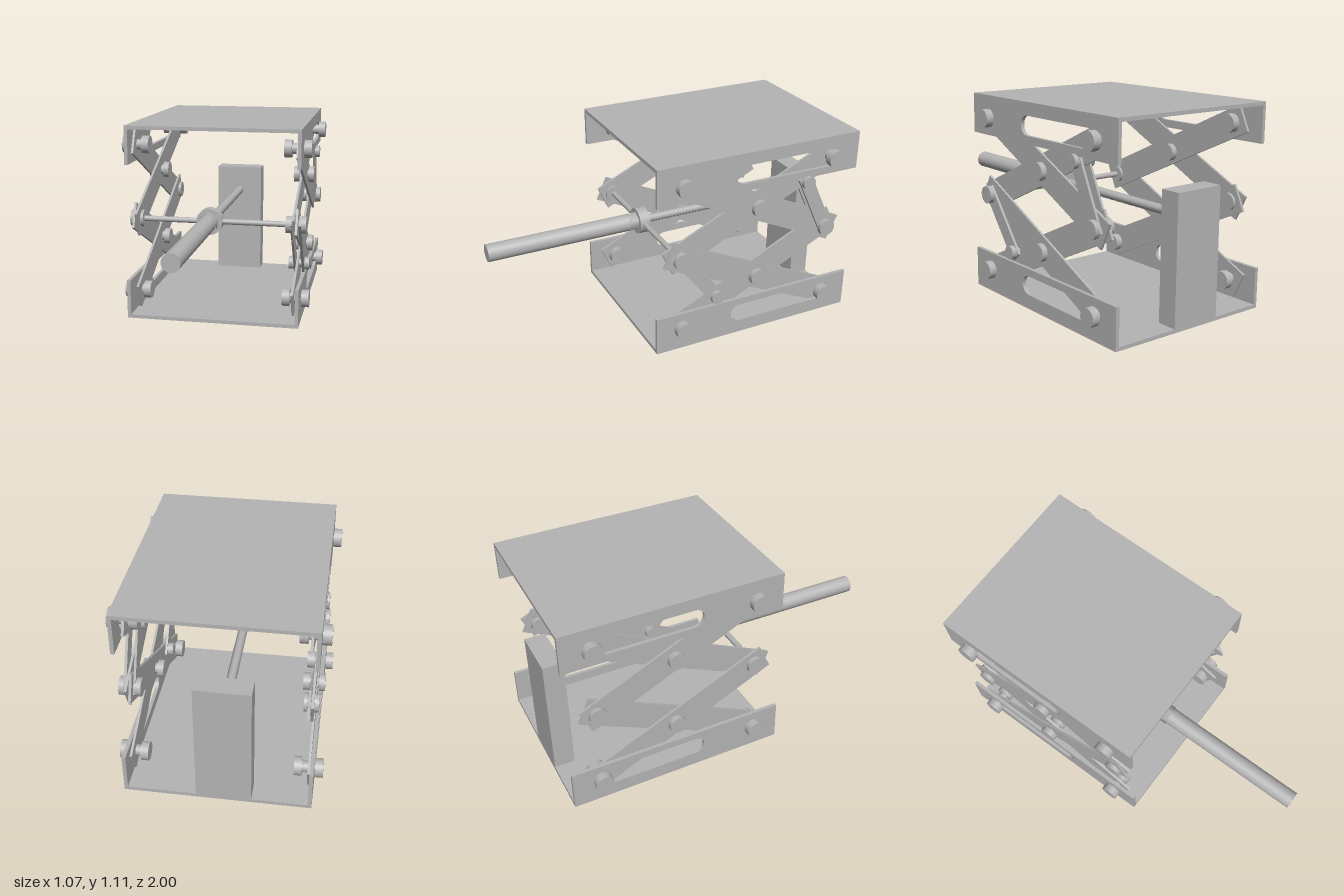
import * as THREE from 'three';

export function createModel() {
  const model = new THREE.Group();
  model.name = 'scissorLiftTable';
  const steel = new THREE.MeshStandardMaterial({ color: 0xb4b4b4 });
  steel.name = 'steel';

  const add = (name, geometry, x = 0, y = 0, z = 0) => {
    const mesh = new THREE.Mesh(geometry, steel);
    mesh.name = name;
    mesh.position.set(x, y, z);
    model.add(mesh);
    return mesh;
  };

  // Round part along x
  const discX = (name, x0, x1, r, y, z) =>
    add(name, new THREE.CylinderGeometry(r, r, Math.abs(x1 - x0), 28).rotateZ(Math.PI / 2), (x0 + x1) / 2, y, z);

  // Round part along z
  const discZ = (name, z0, z1, r, x, y, sides = 32) =>
    add(name, new THREE.CylinderGeometry(r, r, Math.abs(z1 - z0), sides).rotateX(Math.PI / 2), x, y, (z0 + z1) / 2);

  // Flat bar between two pivots [z, y], reaching past both
  const bar = (name, a, b, x0, x1, width, reach) => {
    const dz = b[0] - a[0], dy = b[1] - a[1];
    const geometry = new THREE.BoxGeometry(Math.abs(x1 - x0), width, Math.hypot(dz, dy) + 2 * reach);
    const mesh = add(name, geometry, (x0 + x1) / 2, (a[1] + b[1]) / 2, (a[0] + b[0]) / 2);
    mesh.rotation.x = -Math.atan2(dy, dz);
  };

  // Bolt with a shank and a head at each end
  const bolt = (name, side, [z, y], inner, outer, r) => {
    discX(name + 'OuterHead', side * outer[0], side * outer[1], r, y, z);
    discX(name + 'InnerHead', side * inner[0], side * inner[1], r, y, z);
    discX(name + 'Shank', side * inner[1], side * outer[0], r * 0.6, y, z);
  };

  // Side flange with a long rounded slot
  const flangeGeometry = (y0, y1, slotY) => {
    const shape = new THREE.Shape();
    shape.moveTo(-0.235, y0).lineTo(1, y0).lineTo(1, y1).lineTo(-0.235, y1).closePath();
    const r = 0.052, slot = new THREE.Path();
    slot.absarc(0.833, slotY, r, -Math.PI / 2, Math.PI / 2, false);
    slot.absarc(0.28, slotY, r, Math.PI / 2, Math.PI * 1.5, false);
    slot.closePath();
    shape.holes.push(slot);
    return new THREE.ExtrudeGeometry(shape, { depth: 0.02, bevelEnabled: false, curveSegments: 16 })
      .rotateY(Math.PI / 2);
  };

  // Base and platform channels
  for (const [name, plateY, y0, y1, slotY] of [
    ['base', 0.01, 0.02, 0.223, 0.13],
    ['platform', 1.1, 0.892, 1.09, 0.987],
  ]) {
    add(name + 'Plate', new THREE.BoxGeometry(0.984, 0.02, 1.235), 0, plateY, -0.3825);
    add(name + 'LeftFlange', flangeGeometry(y0, y1, slotY), 0.472);
    add(name + 'RightFlange', flangeGeometry(y0, y1, slotY), -0.492);
  }

  // Pivot points [z, y]
  const frontTop = [0.08, 0.987], rearTop = [-0.835, 0.987];
  const frontBottom = [0.08, 0.13], rearBottom = [-0.835, 0.13];
  const frontElbow = [0.09, 0.56], rearElbow = [-0.825, 0.56];
  const upperCross = [-0.385, 0.767], lowerCross = [-0.39, 0.34];

  // Scissor arms and their bolts on both sides
  for (const s of [1, -1]) {
    bar('upperOuterArm', frontTop, rearElbow, s * 0.458, s * 0.471, 0.152, 0.07);
    bar('lowerOuterArm', frontElbow, rearBottom, s * 0.458, s * 0.471, 0.152, 0.07);
    bar('upperInnerArm', rearTop, frontElbow, s * 0.441, s * 0.455, 0.152, 0.07);
    bar('lowerInnerArm', rearElbow, frontBottom, s * 0.441, s * 0.455, 0.152, 0.07);
    for (const p of [frontTop, rearTop, frontBottom, rearBottom])
      bolt('channelBolt', s, p, [0.385, 0.427], [0.495, 0.537], 0.05);
    for (const p of [upperCross, lowerCross])
      bolt('crossBolt', s, p, [0.39, 0.425], [0.478, 0.51], 0.048);
    for (const p of [frontElbow, rearElbow])
      bolt('elbowBolt', s, p, [s > 0 ? 0.4 : 0.42, 0.436], [s > 0 ? 0.488 : 0.465, s > 0 ? 0.515 : 0.495], 0.048);
  }

  // Short tie links, paired inside and outside the left arms
  for (const [elbow, end] of [[frontElbow, [-0.13, 0.28]], [rearElbow, [-0.68, 0.865]]]) {
    bar('innerTie', elbow, end, 0.427, 0.439, 0.08, 0.035);
    bar('outerTie', elbow, end, 0.474, 0.488, 0.08, 0.035);
    bolt('tieBolt', 1, end, [0.395, 0.427], [0.488, 0.515], 0.037);
  }

  // Rear post
  add('rearPost', new THREE.BoxGeometry(0.29, 0.695, 0.115), -0.035, 0.3675, -0.9425);

  // Cross rod, collar, hex nut and handle
  const driveX = -0.035, driveY = 0.56;
  discX('crossRod', -0.44, 0.43, 0.016, driveY, 0.09);
  discZ('collar', 0.06, 0.12, 0.075, driveX, driveY);
  discZ('hexNut', 0.12, 0.17, 0.056, driveX, driveY, 6);
  discZ('handle', 0.17, 1, 0.049, driveX, driveY);

  // Threaded screw from collar to post
  const profile = [], turns = 48, length = 0.95;
  for (let i = 0; i <= turns * 2; i++)
    profile.push(new THREE.Vector2(i % 2 ? 0.026 : 0.019, (i / (turns * 2)) * length));
  add('threadedScrew', new THREE.LatheGeometry(profile, 20).rotateX(Math.PI / 2), driveX, driveY, -0.89);

  return model;
}
